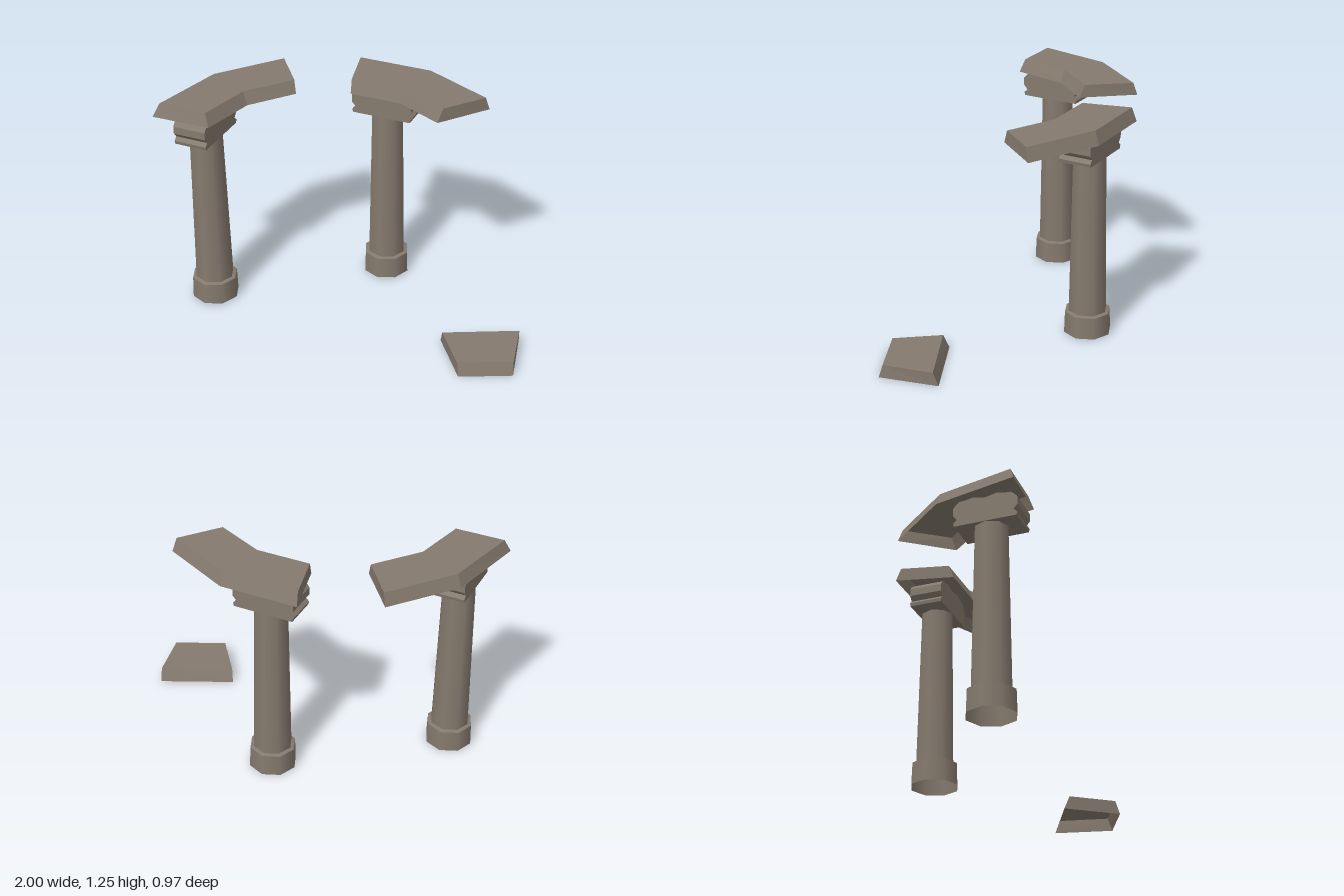
import * as THREE from 'three';

const stone = new THREE.MeshStandardMaterial({ color: 0x857a6e, side: THREE.DoubleSide });
stone.name = 'weathered stone';

function add(parent, name, geometry) {
  const mesh = new THREE.Mesh(geometry, stone);
  mesh.name = name;
  parent.add(mesh);
  return mesh;
}

// Scrolled capital: half profile mirrored, then extruded
function capitalGeometry() {
  const half = [[0.167, 1.03], [0.171, 1.048], [0.152, 1.067], [0.173, 1.092], [0.173, 1.134],
    [0.16, 1.15], [0.14, 1.168], [0.105, 1.171], [0.063, 1.18]];
  const outline = [...half, [0, 1.166], ...half.map(([x, y]) => [-x, y]).reverse()];
  const shape = new THREE.Shape(outline.map(([x, y]) => new THREE.Vector2(x, y)));
  const depth = 0.185;
  return new THREE.ExtrudeGeometry(shape, { depth, bevelEnabled: false }).translate(0, 0, -depth / 2);
}

// Eight-sided open tube between two heights
function tube(rTop, rBottom, y0, y1) {
  return new THREE.CylinderGeometry(rTop, rBottom, y1 - y0, 8, 1, true).translate(0, (y0 + y1) / 2, 0);
}

function column(x, z, turn) {
  const group = new THREE.Group();
  group.name = 'column';
  add(group, 'base', tube(0.128, 0.132, 0.007, 0.13));
  add(group, 'baseShoulder', tube(0.107, 0.128, 0.13, 0.136));
  add(group, 'shaft', tube(0.091, 0.107, 0.134, 1.032));
  add(group, 'capital', capitalGeometry()).rotation.y = turn;
  group.position.set(x, 0, z);
  return group;
}

// Hollow slab, open underneath: each station is [outer bottom, outer top, inner top, inner bottom] as x, z
function slabGeometry(stations, y0, y1) {
  const positions = [];
  const point = (s, i) => [stations[s][i][0], i === 1 || i === 2 ? y1 : y0, stations[s][i][1]];
  const quad = (a, b, c, d) => [a, b, c, a, c, d].forEach((p) => positions.push(...p));
  for (let s = 0; s < stations.length - 1; s++) {
    for (let i = 0; i < 3; i++) quad(point(s, i), point(s, i + 1), point(s + 1, i + 1), point(s + 1, i));
  }
  const last = stations.length - 1;
  quad(point(0, 3), point(0, 2), point(0, 1), point(0, 0));
  quad(point(last, 0), point(last, 1), point(last, 2), point(last, 3));
  const geometry = new THREE.BufferGeometry();
  geometry.setAttribute('position', new THREE.Float32BufferAttribute(positions, 3));
  geometry.computeVertexNormals();
  return geometry;
}

export function createModel() {
  const model = new THREE.Group();
  model.name = 'ruinedColonnade';

  model.add(column(-0.798, 0.292, Math.PI / 2));
  model.add(column(-0.012, -0.333, 0));

  // Bent lintel on the right column
  add(model, 'rightLintel', slabGeometry([
    [[-1.0, 0.483], [-0.97, 0.457], [-0.7, 0.455], [-0.675, 0.477]],
    [[-0.9, 0.03], [-0.875, 0.04], [-0.635, 0.16], [-0.607, 0.172]],
    [[-0.63, -0.303], [-0.613, -0.285], [-0.447, -0.072], [-0.428, -0.05]],
  ], 1.178, 1.249));

  // Bent lintel on the middle column
  add(model, 'middleLintel', slabGeometry([
    [[-0.238, -0.491], [-0.231, -0.465], [-0.168, -0.203], [-0.163, -0.175]],
    [[0.195, -0.491], [0.185, -0.465], [0.135, -0.203], [0.125, -0.175]],
    [[0.582, -0.303], [0.565, -0.283], [0.404, -0.078], [0.385, -0.05]],
  ], 1.175, 1.249));

  // Broken piece lying on the ground
  add(model, 'fallenLintel', slabGeometry([
    [[0.537, 0.214], [0.555, 0.24], [0.72, 0.455], [0.736, 0.475]],
    [[0.922, 0.032], [0.93, 0.06], [0.989, 0.33], [0.997, 0.352]],
  ], 0.004, 0.078));

  return model;
}
